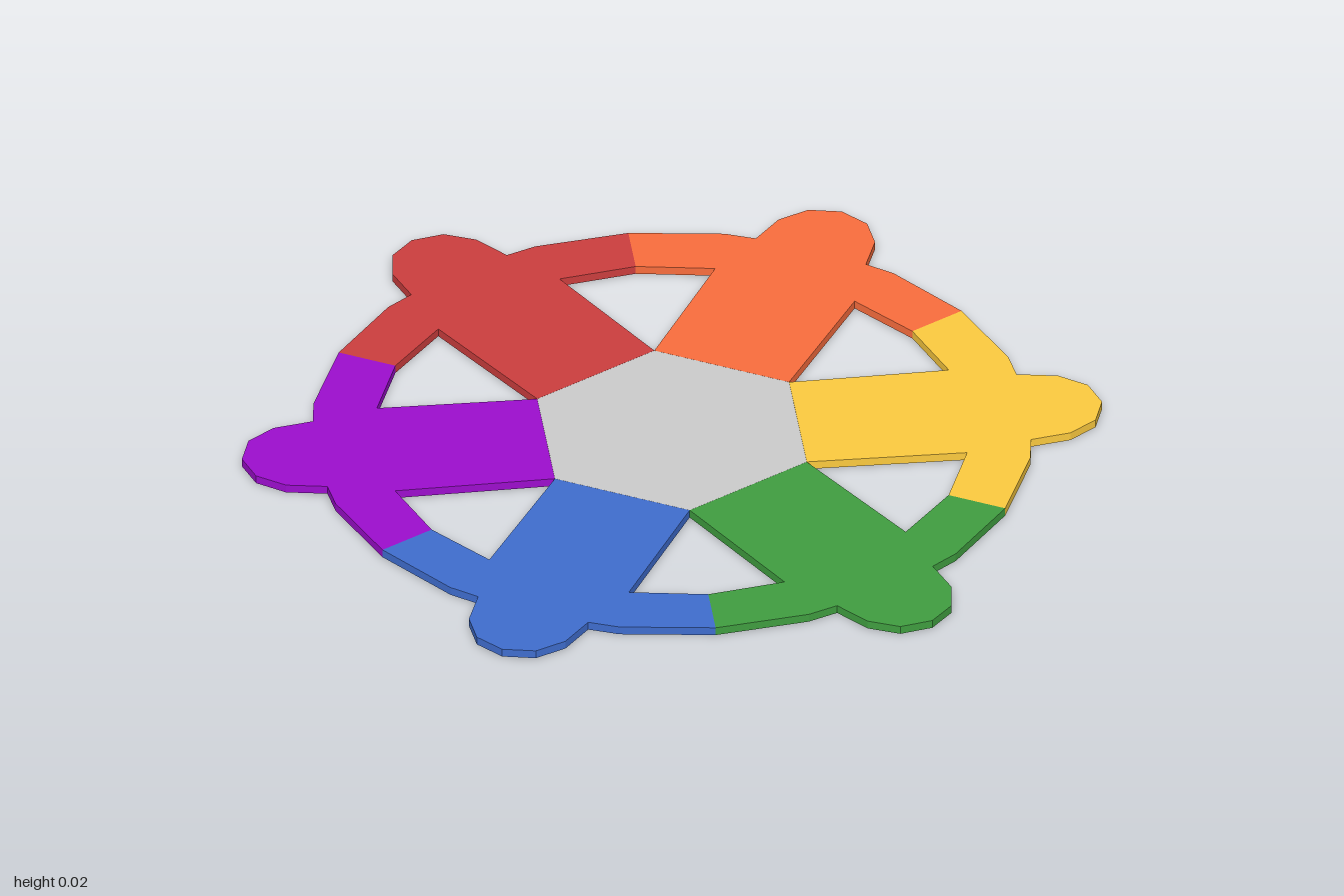
import * as THREE from 'three';

const THICKNESS = 0.02;

// Flat plate lying on the ground; the shape's +y points to the back (-z)
function plate(points, color, name) {
  const shape = new THREE.Shape(points.map(([x, y]) => new THREE.Vector2(x, y)));
  const geometry = new THREE.ExtrudeGeometry(shape, { depth: THICKNESS, bevelEnabled: false });
  geometry.rotateX(-Math.PI / 2);
  const mesh = new THREE.Mesh(geometry, new THREE.MeshStandardMaterial({ color, flatShading: true }));
  mesh.name = name;
  return mesh;
}

export function createModel() {
  const model = new THREE.Group();
  model.name = 'sixSpokeWheel';

  // Hexagonal hub
  const hubRadius = 0.338;
  const hexagon = Array.from({ length: 6 }, (_, i) => {
    const a = (i * Math.PI) / 3;
    return [hubRadius * Math.cos(a), hubRadius * Math.sin(a)];
  });
  model.add(plate(hexagon, 0xcccccc, 'hub'));

  // Right half of one spoke with its rim piece and rounded handle
  const half = [
    [0.169, 0.293], [0.175, 0.665], [0.347, 0.601], [0.418, 0.724],
    [0.212, 0.808], [0.138, 0.818], [0.121, 0.912], [0.074, 0.976],
  ];
  const outline = [...half, [0, 1], ...half.map(([x, y]) => [-x, y]).reverse()];

  // Six coloured spokes, clockwise from the back
  const spokes = [
    ['orange', 0xfa6d3d], ['yellow', 0xfccb3f], ['green', 0x409e40],
    ['blue', 0x3f6dce], ['purple', 0x9d0ece], ['red', 0xcc3e3e],
  ];
  spokes.forEach(([label, color], i) => {
    const spoke = plate(outline, color, `${label}Spoke`);
    spoke.rotation.y = (-i * Math.PI) / 3;
    model.add(spoke);
  });

  return model;
}
